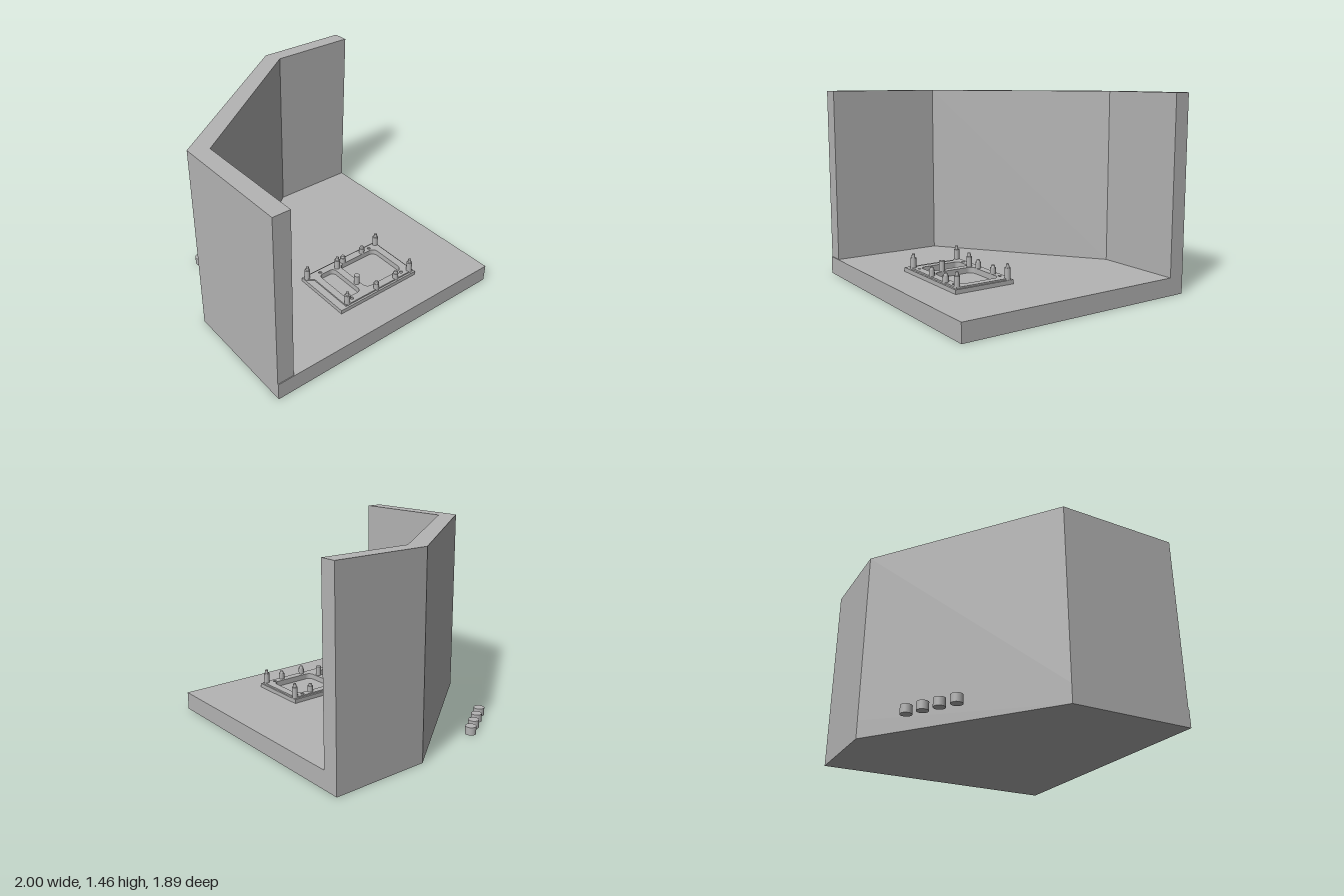
import * as THREE from 'three';

const grey = new THREE.MeshStandardMaterial({ color: 0xb4b4b4 });
grey.name = 'plain grey';

const FLOOR = 0.135, TOP = 1.46;

// Plan outline given as [x, z] points
function plan(points) {
  return new THREE.Shape(points.map(([x, z]) => new THREE.Vector2(x, -z)));
}

// Rounded rectangular opening in plan
function roundedOpening(x0, x1, z0, z1, r) {
  const p = new THREE.Path();
  p.absarc(x1 - r, -z0 - r, r, 0, Math.PI / 2);
  p.absarc(x0 + r, -z0 - r, r, Math.PI / 2, Math.PI);
  p.absarc(x0 + r, -z1 + r, r, Math.PI, Math.PI * 1.5);
  p.absarc(x1 - r, -z1 + r, r, Math.PI * 1.5, Math.PI * 2);
  p.closePath();
  return p;
}

// Upright slab from y0 to y1
function slab(name, shape, y0, y1) {
  const g = new THREE.ExtrudeGeometry(shape, { depth: y1 - y0, bevelEnabled: false, curveSegments: 8 });
  g.rotateX(-Math.PI / 2).translate(0, y0, 0);
  const m = new THREE.Mesh(g, grey);
  m.name = name;
  return m;
}

function cylinder(name, x, z, r, y0, y1, rBottom = r) {
  const m = new THREE.Mesh(new THREE.CylinderGeometry(r, rBottom, y1 - y0, 24), grey);
  m.position.set(x, (y0 + y1) / 2, z);
  m.name = name;
  return m;
}

export function createModel() {
  const model = new THREE.Group();
  model.name = 'cornerEnclosure';

  // Floor with one cut corner, and the wall along its three closed sides
  model.add(slab('floor', plan([[-1, 0.943], [1, 0.943], [1, -0.943], [0.27, -0.943], [-1, 0]]), 0, FLOOR));
  model.add(slab('wall', plan([
    [-1, 0.937], [-0.87, 0.937], [-0.87, 0.07], [0.32, -0.82],
    [1, -0.82], [1, -0.943], [0.27, -0.943], [-1, 0],
  ]), FLOOR, TOP));

  // Loose feet behind the diagonal wall
  for (const [x, z] of [[-0.66, -0.62], [-0.553, -0.688], [-0.447, -0.755], [-0.34, -0.822]]) {
    model.add(cylinder('foot', x, z, 0.041, 0, 0.06));
  }

  // Mounting tray with two openings and a raised bed
  const tray = new THREE.Group();
  tray.name = 'mountingTray';
  const plate = plan([[-0.245, 0.675], [0.49, 0.675], [0.49, 0.203], [-0.245, 0.203]]);
  const bed = plan([[-0.19, 0.66], [0.477, 0.66], [0.477, 0.218], [-0.232, 0.218], [-0.232, 0.255], [-0.19, 0.29]]);
  for (const shape of [plate, bed]) {
    shape.holes.push(roundedOpening(-0.135, 0.005, 0.275, 0.6, 0.035));
    shape.holes.push(roundedOpening(0.06, 0.42, 0.275, 0.6, 0.045));
  }
  // Small screw holes through the bed
  for (const x of [-0.105, 0.39]) for (const z of [0.25, 0.625]) {
    const hole = new THREE.Path();
    hole.absarc(x, -z, 0.013, 0, Math.PI * 2);
    bed.holes.push(hole);
  }
  tray.add(slab('trayPlate', plate, FLOOR, 0.166));
  tray.add(slab('trayBed', bed, 0.166, 0.177));

  // Tall standoffs, most with a locating pin
  const tall = [[-0.22, 0.238], [0.467, 0.238], [-0.165, 0.642], [0.455, 0.642], [0.035, 0.283], [0.035, 0.515]];
  tall.forEach(([x, z], i) => {
    tray.add(cylinder('tallStandoff', x, z, 0.021, 0.166, 0.252));
    if (i < 5) tray.add(cylinder('locatingPin', x, z, 0.011, 0.252, 0.28, 0.013));
  });

  // Short standoffs with small pins
  for (const x of [0.115, 0.31]) for (const z of [0.255, 0.645]) {
    tray.add(cylinder('shortStandoff', x, z, 0.021, 0.166, 0.222));
    tray.add(cylinder('shortPin', x, z, 0.011, 0.222, 0.24, 0.016));
  }
  model.add(tray);
  return model;
}
